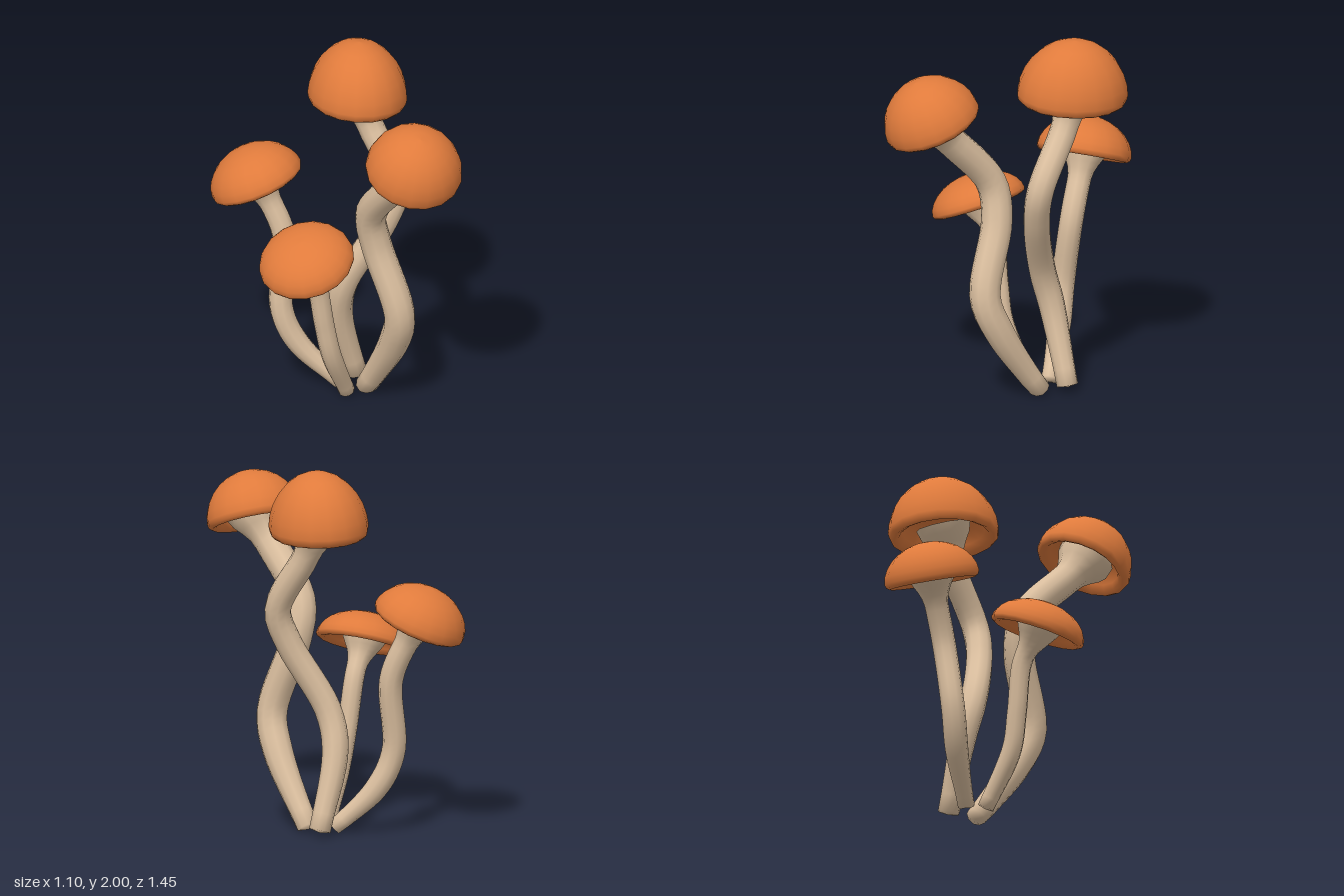
import * as THREE from 'three';
import { mergeVertices } from 'three/addons/utils/BufferGeometryUtils.js';

const UP = new THREE.Vector3(0, 1, 0);
const capMaterial = new THREE.MeshStandardMaterial({ color: 0xe07b3c });
const stemMaterial = new THREE.MeshStandardMaterial({ color: 0xdcc0a0 });

// Unit cap: hollow underside, rolled lip, then a dome that is slightly fuller than a cone
function capGeometry() {
  const profile = [[0, 0.42], [0.45, 0.4], [0.66, 0.27], [0.74, 0.1], [0.82, 0], [0.91, -0.04], [0.975, 0.01]]
    .map(([x, y]) => new THREE.Vector2(x, y));
  for (let i = 0; i <= 7; i++) {
    const a = (i / 7) * Math.PI / 2;
    profile.push(new THREE.Vector2(Math.cos(a), 0.1 + 0.9 * Math.sin(a) ** 1.1));
  }
  return new THREE.LatheGeometry(profile, 17);
}

// Tube whose rings are rescaled along its length: narrow foot, even middle, flared top
function stemGeometry(points, foot, mid) {
  const rings = 36, sides = 10;
  const curve = new THREE.CatmullRomCurve3(points);
  const length = curve.getLength();
  const geo = new THREE.TubeGeometry(curve, rings, 1, sides, false);
  const pos = geo.attributes.position;
  const p = new THREE.Vector3();
  for (let i = 0; i <= rings; i++) {
    const t = i / rings;
    const centre = curve.getPointAt(t);
    let r = THREE.MathUtils.lerp(foot, mid, THREE.MathUtils.smoothstep(t, 0, 0.3));
    r += 0.075 * THREE.MathUtils.smoothstep(t * length, length - 0.22, length) ** 1.4;
    // the first ring shrinks to close the foot, the second drops to form its edge
    if (i === 0) r = 0;
    const target = i === 1 ? curve.getPointAt(0.006) : centre;
    for (let j = 0; j <= sides; j++) {
      const k = i * (sides + 1) + j;
      p.fromBufferAttribute(pos, k).sub(centre).multiplyScalar(r).add(target);
      pos.setXYZ(k, p.x, Math.max(p.y, 0), p.z);
    }
  }
  geo.deleteAttribute('uv');
  geo.deleteAttribute('normal');
  const merged = mergeVertices(geo, 1e-5);
  merged.computeVertexNormals();
  return merged;
}

// rim: centre of the cap's rim, lean: cap axis, size: x radius, height, z radius,
// path: stem points from the foot up; the last one is set inside the cap
function mushroom(name, capShape, { rim, lean, size, foot, mid, path }) {
  const group = new THREE.Group();
  group.name = name;
  const centre = new THREE.Vector3(...rim);
  const axis = new THREE.Vector3(...lean).normalize();

  const cap = new THREE.Mesh(capShape, capMaterial);
  cap.name = 'cap';
  cap.scale.set(...size);
  cap.position.copy(centre);
  cap.quaternion.setFromUnitVectors(UP, axis);

  const points = path.map((a) => new THREE.Vector3(...a));
  points.push(centre.clone().addScaledVector(axis, 0.07));
  const stem = new THREE.Mesh(stemGeometry(points, foot, mid), stemMaterial);
  stem.name = 'stem';

  group.add(cap, stem);
  return group;
}

export function createModel() {
  const model = new THREE.Group();
  model.name = 'mushroomCluster';
  const capShape = capGeometry();

  model.add(mushroom('tallBackMushroom', capShape, {
    rim: [0.205, 1.66, -0.3], lean: [0.05, 1, -0.05], size: [0.265, 0.34, 0.3], foot: 0.058, mid: 0.073,
    path: [[0.195, 0.02, -0.28], [0.08, 0.45, -0.215], [0.1, 0.66, -0.16],
      [0.3, 1.03, -0.09], [0.365, 1.22, -0.1], [0.26, 1.53, -0.25]],
  }));
  model.add(mushroom('tallFrontMushroom', capShape, {
    rim: [0.28, 1.59, 0.465], lean: [0.05, 1, 0.42], size: [0.262, 0.275, 0.265], foot: 0.06, mid: 0.085,
    path: [[0.2, 0.01, -0.13], [0.285, 0.4, 0.115], [0.29, 0.6, 0.19],
      [0.185, 1.0, 0.105], [0.15, 1.2, 0.13], [0.24, 1.51, 0.39]],
  }));
  model.add(mushroom('shortBackMushroom', capShape, {
    rim: [-0.3, 1.155, -0.46], lean: [-0.36, 1, -0.25], size: [0.258, 0.215, 0.258], foot: 0.045, mid: 0.064,
    path: [[0.085, 0.02, -0.2], [-0.13, 0.25, -0.295], [-0.21, 0.45, -0.33],
      [-0.18, 0.85, -0.375], [-0.26, 1.09, -0.44]],
  }));
  model.add(mushroom('shortFrontMushroom', capShape, {
    rim: [-0.205, 0.945, 0.125], lean: [-0.33, 1, 0.28], size: [0.26, 0.175, 0.26], foot: 0.045, mid: 0.054,
    path: [[0.085, 0.02, -0.1], [-0.04, 0.32, 0.02], [-0.085, 0.52, 0.04],
      [-0.135, 0.8, 0.06], [-0.19, 0.92, 0.11]],
  }));
  return model;
}
